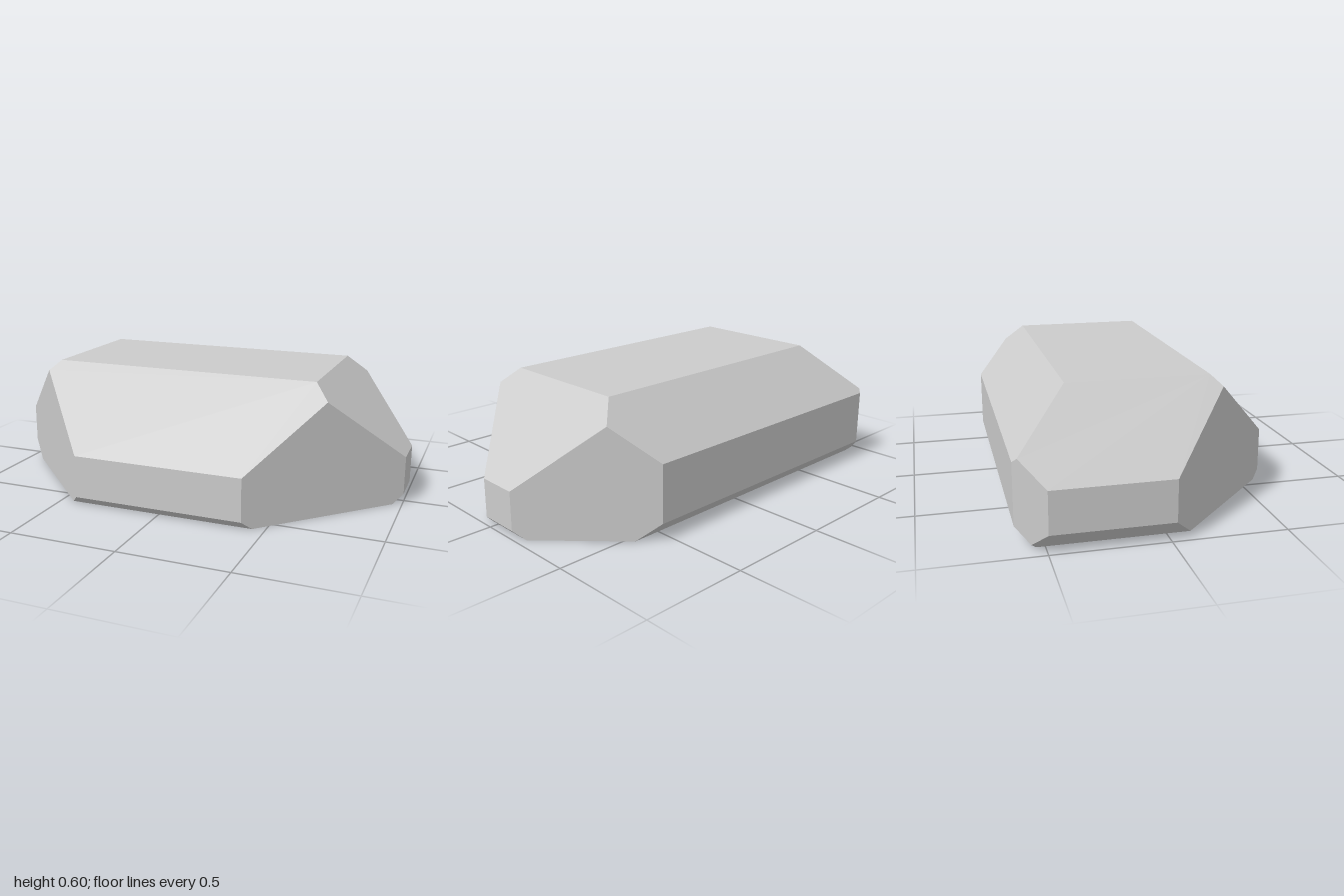
import * as THREE from 'three';

// Each facet plane: outward direction and its limit, dot(direction, point) <= limit
const FACETS = [
  // flat sides
  [1, 0, 0, 1], [-1, 0, 0, 1],
  [0, 1, 0, 0.597], [0, -1, 0, 0],
  [0, 0, 1, 0.618], [0, 0, -1, 0.618],
  // bevels between the ends and the top or bottom
  [1, 1, 0, 1.222], [-1, 1, 0, 1.267], [1, -1, 0, 0.958], [-1, -1, 0, 0.918],
  // bevels between front or back and the top or bottom
  [0, 1, 1, 0.856], [0, 1, -1, 0.968], [0, -1, 1, 0.58], [0, -1, -1, 0.536],
  // upright corner bevels
  [1, 0, 1, 1.023], [-1, 0, 1, 1.021], [1, 0, -1, 1.17], [-1, 0, -1, 1.498],
].map(([x, y, z, limit]) => {
  const direction = new THREE.Vector3(x, y, z);
  const length = direction.length();
  return new THREE.Plane(direction.divideScalar(length), -limit / length);
});

// Keep the part of a polygon that lies behind a plane
function clip(polygon, plane) {
  const kept = [];
  polygon.forEach((a, i) => {
    const b = polygon[(i + 1) % polygon.length];
    const da = plane.distanceToPoint(a);
    const db = plane.distanceToPoint(b);
    if (da <= 0) kept.push(a);
    if ((da < 0 && db > 0) || (da > 0 && db < 0)) kept.push(a.clone().lerp(b, da / (da - db)));
  });
  return kept;
}

// A large square on the facet plane, trimmed by all the other planes
function facetPolygon(plane) {
  const n = plane.normal;
  const u = new THREE.Vector3(n.y, n.z, n.x).cross(n);
  if (u.lengthSq() < 1e-6) u.set(n.z, n.x, -n.y).cross(n);
  u.normalize();
  const v = n.clone().cross(u);
  const centre = plane.coplanarPoint(new THREE.Vector3());
  const square = [[-5, -5], [5, -5], [5, 5], [-5, 5]].map(([s, t]) =>
    centre.clone().addScaledVector(u, s).addScaledVector(v, t));
  return FACETS.reduce((poly, other) => (other === plane ? poly : clip(poly, other)), square);
}

export function createModel() {
  const positions = [];
  const normals = [];
  for (const plane of FACETS) {
    const polygon = facetPolygon(plane);
    for (let i = 1; i < polygon.length - 1; i++) {
      for (const p of [polygon[0], polygon[i], polygon[i + 1]]) {
        positions.push(p.x, p.y, p.z);
        normals.push(...plane.normal.toArray());
      }
    }
  }
  const geometry = new THREE.BufferGeometry();
  geometry.setAttribute('position', new THREE.Float32BufferAttribute(positions, 3));
  geometry.setAttribute('normal', new THREE.Float32BufferAttribute(normals, 3));

  // Faceted block
  const block = new THREE.Mesh(
    geometry,
    new THREE.MeshStandardMaterial({ color: 0xcccccc, flatShading: true }),
  );
  block.name = 'facetedBlock';

  const model = new THREE.Group();
  model.name = 'facetedStone';
  model.add(block);
  return model;
}
